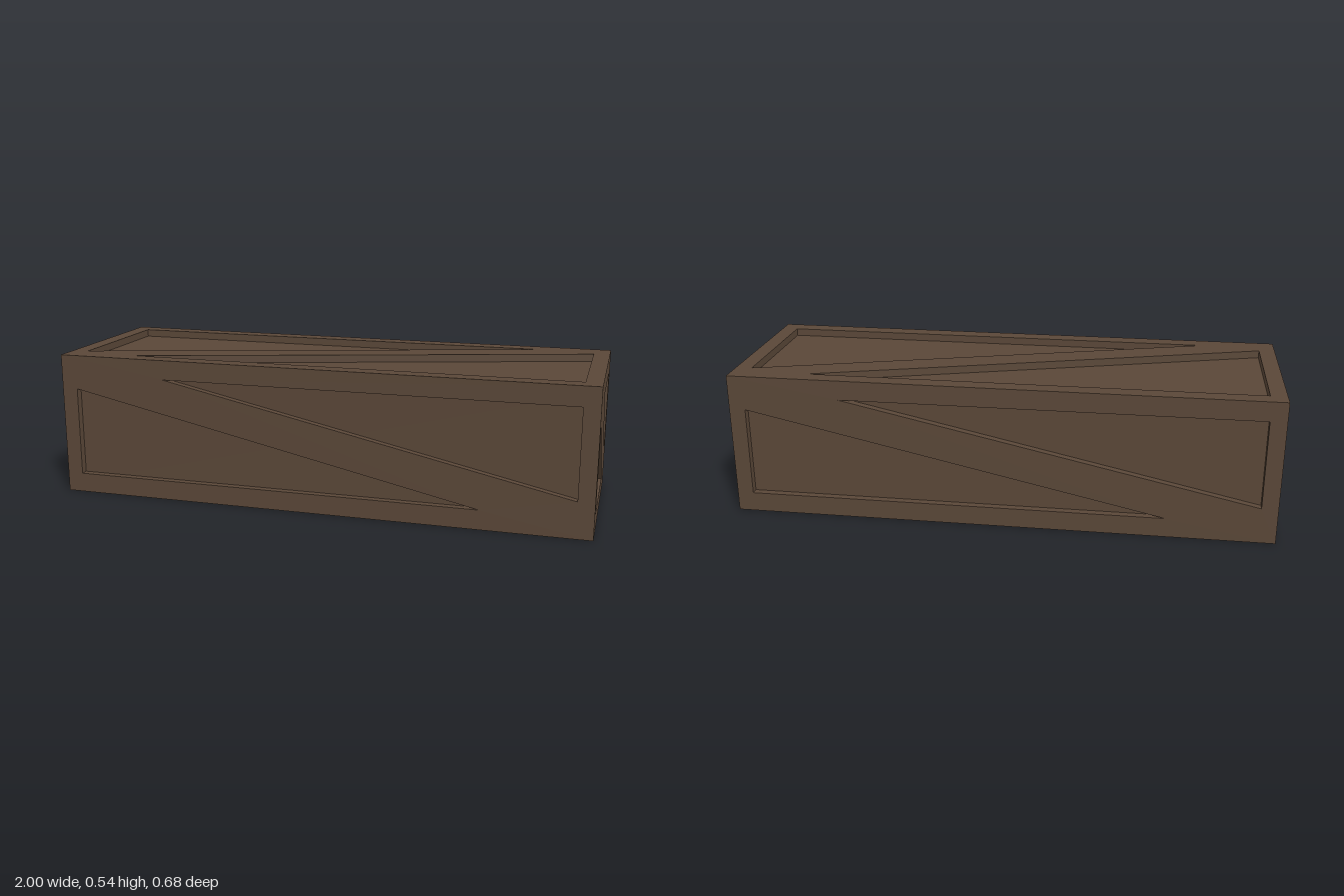
import * as THREE from 'three';

const L = 2, H = 0.538, W = 0.675;   // crate length, height, width
const D = 0.028;                     // recess depth of the panels

// Framed side with a flush diagonal brace, leaving two triangular openings.
// low = [height, run] of the lower-left opening, high = [height, run] of the
// upper-right one, both given as end coordinates from the centre.
function braceGeometry(w, h, iw, ih, low, high, flip = 1) {
  const shape = new THREE.Shape([
    [-w / 2, -h / 2], [w / 2, -h / 2], [w / 2, h / 2], [-w / 2, h / 2],
  ].map(([x, y]) => new THREE.Vector2(x, y)));
  const holes = [
    [[-iw, low[0]], [-iw, -ih], [low[1], -ih]],
    [[iw, high[0]], [iw, ih], [high[1], ih]],
  ];
  for (const pts of holes) {
    shape.holes.push(new THREE.Path(pts.map(([x, y]) => new THREE.Vector2(x, y * flip))));
  }
  const geo = new THREE.ExtrudeGeometry(shape, { depth: D, bevelEnabled: false });
  // Mitre the inner rim so neighbouring sides meet cleanly at the edges
  const p = geo.attributes.position;
  for (let i = 0; i < p.count; i++) {
    if (p.getZ(i) > D / 2) continue;
    const x = p.getX(i), y = p.getY(i);
    if (Math.abs(x) > w / 2 - 1e-4) p.setX(i, x - Math.sign(x) * D);
    if (Math.abs(y) > h / 2 - 1e-4) p.setY(i, y - Math.sign(y) * D);
  }
  geo.computeVertexNormals();
  return geo;
}

export function createModel() {
  const crate = new THREE.Group();
  crate.name = 'crate';
  const wood = new THREE.MeshStandardMaterial({ color: 0x5a4738 });
  wood.name = 'darkWood';

  const add = (name, geo, x, y, z, rx = 0, ry = 0) => {
    const mesh = new THREE.Mesh(geo, wood);
    mesh.name = name;
    mesh.position.set(x, y, z);
    mesh.rotation.set(rx, ry, 0);
    crate.add(mesh);
  };

  // Recessed panels
  add('innerPanels', new THREE.BoxGeometry(L - 2 * D, H - 2 * D, W - 2 * D), 0, H / 2, 0);

  // Long sides
  const side = braceGeometry(L, H, 0.94, 0.196, [0.14, 0.605], [-0.134, -0.585]);
  add('frontFrame', side, 0, H / 2, W / 2 - D);
  add('backFrame', side, 0, H / 2, -W / 2 + D, 0, Math.PI);

  // Ends
  const end = braceGeometry(W, H, 0.276, 0.196, [0.126, 0.153], [-0.119, -0.145]);
  add('leftEndFrame', end, L / 2 - D, H / 2, 0, 0, Math.PI / 2);
  add('rightEndFrame', end, -L / 2 + D, H / 2, 0, 0, -Math.PI / 2);

  // Lid and base, braced along the same diagonal in plan
  const low = [0.237, 0.715], high = [-0.237, -0.715];
  add('lidFrame', braceGeometry(L, W, 0.94, 0.276, low, high, -1), 0, H - D, 0, -Math.PI / 2);
  add('baseFrame', braceGeometry(L, W, 0.94, 0.276, low, high), 0, D, 0, Math.PI / 2);

  return crate;
}
